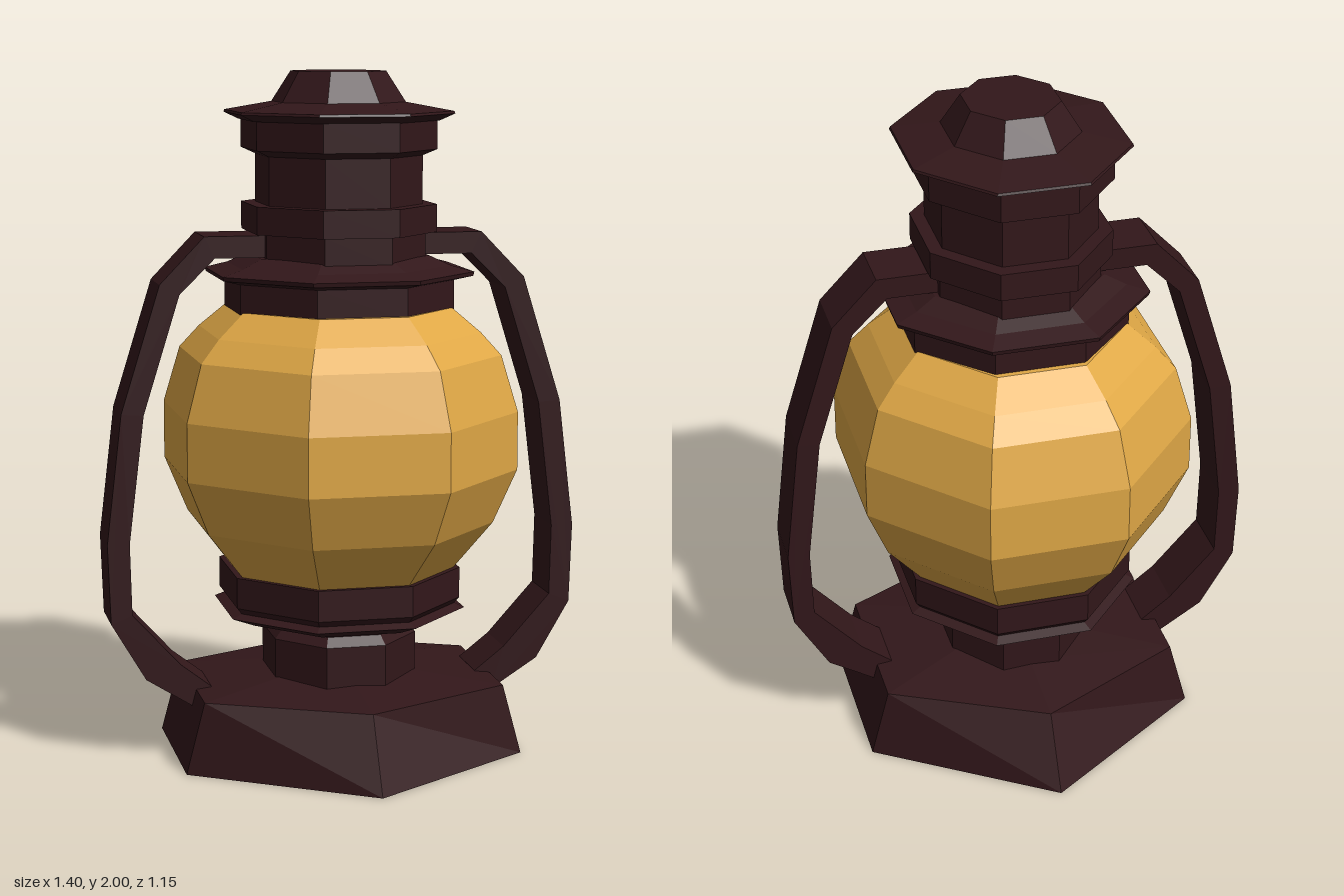
import * as THREE from 'three';

const metal = new THREE.MeshStandardMaterial({ color: 0x32171a, flatShading: true });
const amber = new THREE.MeshStandardMaterial({ color: 0xe0a846, flatShading: true });

// Eight-sided turned part with flats facing the axes.
// Profile is [half depth, y] from bottom to top; xScale narrows the width.
function turned(name, profile, xScale, material = metal) {
  const k = 1 / Math.cos(Math.PI / 8);
  const points = profile.map(([r, y]) => new THREE.Vector2(r * k, y));
  const mesh = new THREE.Mesh(new THREE.LatheGeometry(points, 8, Math.PI / 8), material);
  mesh.scale.x = xScale;
  mesh.name = name;
  return mesh;
}

// Six-sided base lofted through rings of [half width, side corner z, tip z, y]
function hexBase() {
  const rings = [[0, 0, 0, 0], [0.5, 0.24, 0.573, 0], [0.445, 0.235, 0.455, 0.208], [0.2, 0.11, 0.22, 0.237], [0, 0, 0, 0.237]]
    .map(([x, zs, zt, y]) => [[0, y, zt], [x, y, zs], [x, y, -zs], [0, y, -zt], [-x, y, -zs], [-x, y, zs]]);
  const pos = [];
  for (let i = 0; i < rings.length - 1; i++) {
    for (let j = 0; j < 6; j++) {
      const k = (j + 1) % 6;
      const a = rings[i][j], b = rings[i][k], c = rings[i + 1][k], d = rings[i + 1][j];
      if (i > 0) pos.push(...a, ...b, ...d);
      if (i < rings.length - 2) pos.push(...b, ...c, ...d);
    }
  }
  const geometry = new THREE.BufferGeometry();
  geometry.setAttribute('position', new THREE.Float32BufferAttribute(pos, 3));
  geometry.computeVertexNormals();
  const mesh = new THREE.Mesh(geometry, metal);
  mesh.name = 'base';
  return mesh;
}

// Flat side tube, from the chimney down to the base
function sideFrame(name, side) {
  const outer = [[0.15, 1.535], [0.41, 1.535], [0.54, 1.4], [0.655, 1.03], [0.7, 0.65], [0.692, 0.415], [0.592, 0.245], [0.45, 0.155]];
  const inner = [[0.4, 0.215], [0.49, 0.285], [0.63, 0.44], [0.635, 0.65], [0.59, 1.025], [0.483, 1.37], [0.38, 1.472], [0.15, 1.472]];
  const shape = new THREE.Shape([...outer, ...inner].map(([x, y]) => new THREE.Vector2(x * side, y)));
  const geometry = new THREE.ExtrudeGeometry(shape, { depth: 0.172, bevelEnabled: false });
  geometry.translate(0, 0, -0.086);
  const mesh = new THREE.Mesh(geometry, metal);
  mesh.name = name;
  return mesh;
}

export function createModel() {
  const lantern = new THREE.Group();
  lantern.name = 'lantern';
  lantern.add(
    hexBase(),
    turned('neck', [[0.24, 0.2], [0.24, 0.35], [0.215, 0.376], [0.17, 0.376], [0.17, 0.42]], 0.88),
    turned('burner', [[0, 0.4], [0.3, 0.4], [0.375, 0.43], [0.345, 0.442], [0.36, 0.46], [0.36, 0.55], [0, 0.55]], 0.925),
    turned('globe', [[0, 0.55], [0.345, 0.55], [0.46, 0.69], [0.53, 0.85], [0.53, 1.02], [0.48, 1.185], [0.42, 1.25], [0.335, 1.32], [0, 1.32]], 0.917, amber),
    // collar and brim above the globe
    turned('collar', [[0, 1.31], [0.318, 1.31], [0.318, 1.4], [0.37, 1.413], [0.373, 1.425], [0.31, 1.442], [0.25, 1.47], [0, 1.47]], 0.99),
    turned('chimney', [[0.268, 1.455], [0.268, 1.54], [0.302, 1.54], [0.302, 1.62], [0.258, 1.62], [0.258, 1.76], [0.302, 1.778], [0.302, 1.862], [0, 1.862]], 0.875),
    turned('cap', [[0, 1.86], [0.3, 1.86], [0.345, 1.88], [0.342, 1.887], [0.2, 1.912], [0.142, 2], [0, 2]], 0.9),
    sideFrame('leftFrame', 1),
    sideFrame('rightFrame', -1),
  );
  // slightly flared lid rim needs the chimney's narrower width at its top
  lantern.getObjectByName('cap').scale.x = 0.905;
  return lantern;
}
